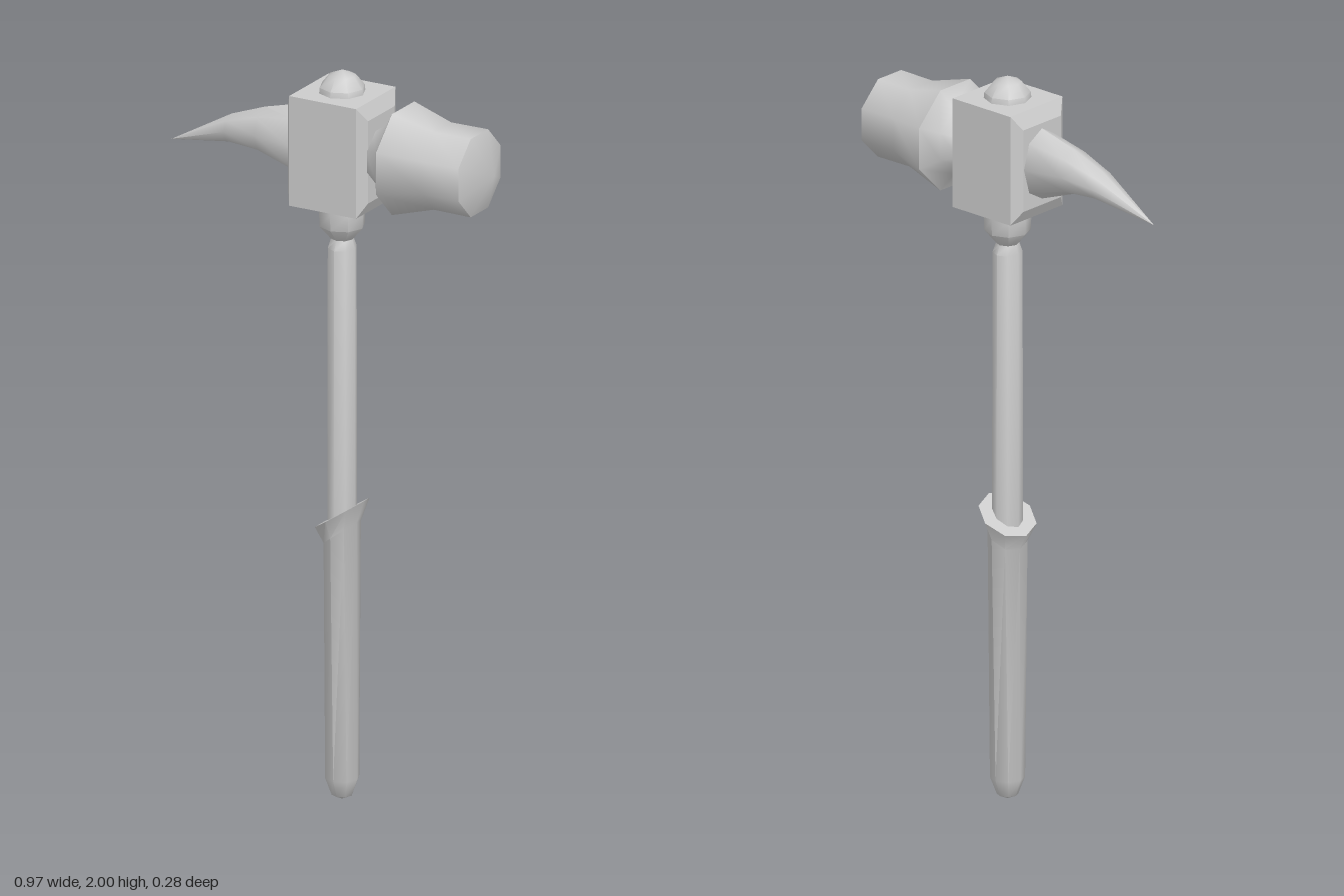
import * as THREE from 'three';
import { toCreasedNormals } from 'three/addons/utils/BufferGeometryUtils.js';

const SIDES = 8;
const CX = 0.03; // handle axis

// Skin a list of rings (equal numbers of points), keeping hard edges creased
function skin(rings, crease = 0.87) {
  const n = rings[0].length, index = [];
  for (let i = 0; i < rings.length - 1; i++) {
    for (let j = 0; j < n; j++) {
      const a = i * n + j, b = i * n + (j + 1) % n;
      index.push(a, b, b + n, a, b + n, a + n);
    }
  }
  const g = new THREE.BufferGeometry();
  g.setAttribute('position', new THREE.Float32BufferAttribute(rings.flat(2), 3));
  g.setIndex(index);
  return toCreasedNormals(g, crease);
}

const angles = (offset) => Array.from({ length: SIDES }, (_, j) => ((j + offset) / SIDES) * Math.PI * 2);

// Ring around the vertical axis, optionally slanted along x
const upright = (y, rx, rz = rx, slant = 0) => angles(0).map((a) => {
  const dx = rx * Math.sin(a);
  return [CX + dx, y + slant * dx, rz * Math.cos(a)];
});

// Ring around the x axis
const sideways = (x, y, ry, rz, offset = 0) => angles(offset).map((a) => [x, y + ry * Math.cos(a), rz * Math.sin(a)]);

// Rectangular ring facing along x
const rect = (x, y0, y1, z) => [[x, y1, -z], [x, y1, z], [x, y0, z], [x, y0, -z]];

export function createModel() {
  const group = new THREE.Group();
  const material = new THREE.MeshStandardMaterial({ color: 0xcccccc });
  const add = (name, geometry) => {
    const mesh = new THREE.Mesh(geometry, material);
    mesh.name = name;
    group.add(mesh);
  };

  // Central block with shallow tapered ends
  add('headBlock', skin([
    rect(-0.09, 1.79, 1.79, 0), rect(-0.09, 1.675, 1.9, 0.072),
    rect(-0.07, 1.64, 1.94, 0.1), rect(0.13, 1.64, 1.94, 0.1),
    rect(0.147, 1.675, 1.9, 0.068), rect(0.147, 1.79, 1.79, 0),
  ], 0.2));

  // Rounded cap on top of the block
  add('topKnob', skin([
    upright(1.935, 0.062), upright(1.955, 0.06), upright(1.985, 0.036), upright(2, 0),
  ]));

  // Striking head: flats on the axes, shallow pointed face
  const k = 1 / Math.cos(Math.PI / SIDES);
  const profile = [[0.14, 0.068], [0.182, 0.09], [0.212, 0.138], [0.33, 0.106], [0.44, 0.107], [0.485, 0]];
  add('hammerHead', skin(profile.map(([x, r]) => sideways(x, 1.79, r * k, r * k, 0.5))));

  // Curved pick: x, bottom, top, half width
  const pick = [[-0.48, 1.718, 1.718, 0], [-0.3, 1.743, 1.82, 0.041], [-0.2, 1.733, 1.857, 0.057], [-0.085, 1.69, 1.887, 0.07]];
  add('pickSpike', skin(pick.map(([x, lo, hi, z]) => sideways(x, (lo + hi) / 2, (hi - lo) / 2, z))));

  // Shaft with neck and collar under the block
  add('shaft', skin([
    upright(0.7, 0.038, 0.042), upright(1.515, 0.037, 0.041), upright(1.54, 0.03),
    upright(1.575, 0.06), upright(1.62, 0.062), upright(1.645, 0.062),
  ]));

  // Grip with a slanted flared lip
  add('grip', skin([
    upright(0.005, 0), upright(0.018, 0.028), upright(0.065, 0.045, 0.046),
    upright(0.735, 0.043, 0.061, 0.75), upright(0.788, 0.065, 0.086, 0.65),
    upright(0.788, 0.036, 0.04, 0.65),
  ]));

  return group;
}
